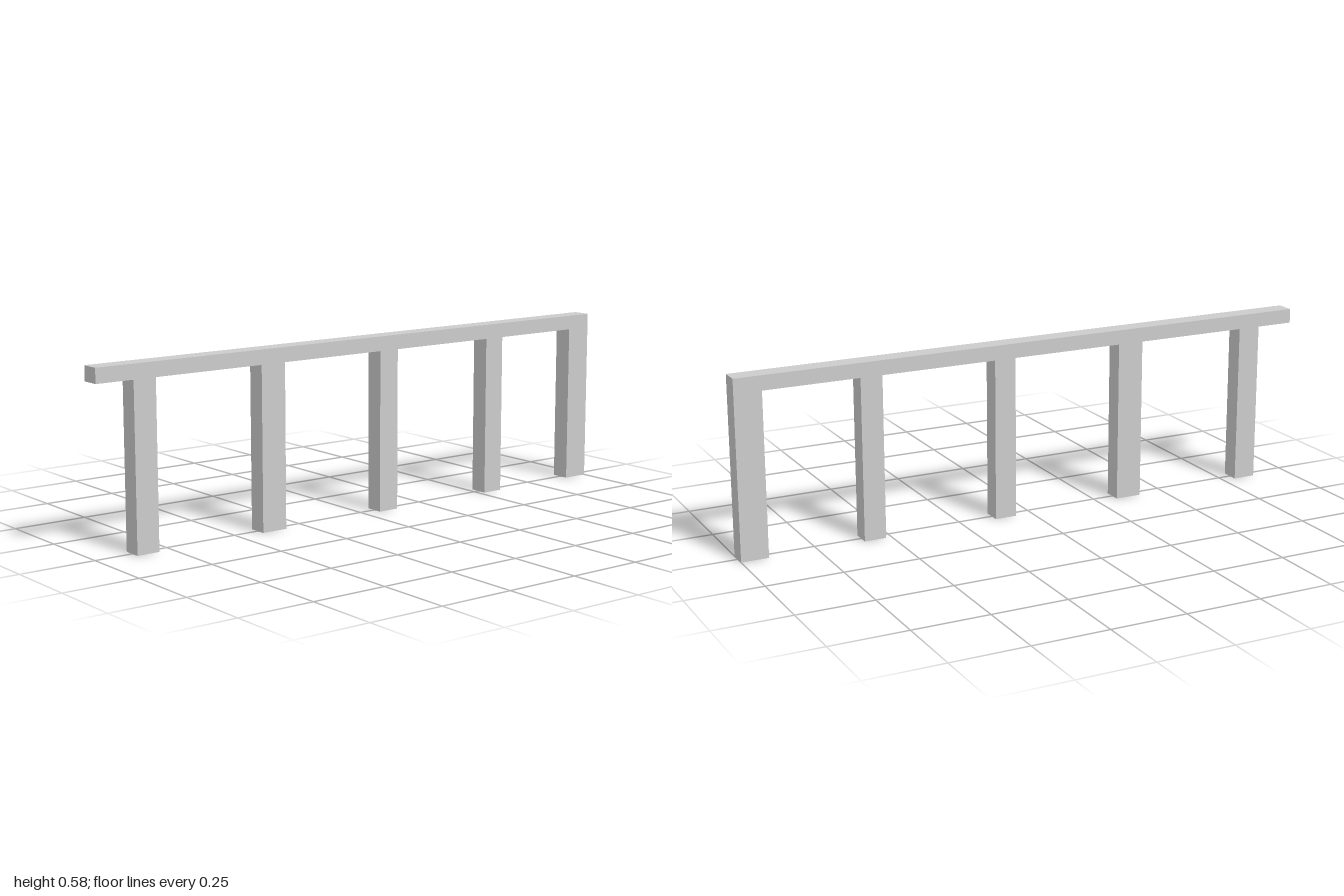
import * as THREE from 'three';

const WIDTH = 0.0625;
const TOP = 0.583;
const BEAM_BOTTOM = 0.535;

// Back and front z of each post, from back to front
const POSTS = [
  [-1, -0.91],
  [-0.592, -0.519],
  [-0.131, -0.058],
  [0.323, 0.412],
  [0.795, 0.872],
];

export function createModel() {
  const group = new THREE.Group();
  group.name = 'postAndRailFence';

  // Side outline: posts along the underside, then the rail end and top
  const outline = POSTS.flatMap(([back, front]) => [
    [back, BEAM_BOTTOM], [back, 0], [front, 0], [front, BEAM_BOTTOM],
  ]);
  outline.shift(); // the rearmost post is flush with the rail end
  outline.push([1, BEAM_BOTTOM], [1, TOP], [-1, TOP]);
  const shape = new THREE.Shape(outline.map(([z, y]) => new THREE.Vector2(z, y)));

  // Extrude across the width and turn the outline to run along z
  const geometry = new THREE.ExtrudeGeometry(shape, { depth: WIDTH, bevelEnabled: false });
  geometry.translate(0, 0, -WIDTH / 2);
  geometry.rotateY(-Math.PI / 2);

  const frame = new THREE.Mesh(
    geometry,
    new THREE.MeshStandardMaterial({ color: 0xcccccc, flatShading: true }),
  );
  frame.name = 'railWithPosts';
  group.add(frame);
  return group;
}
